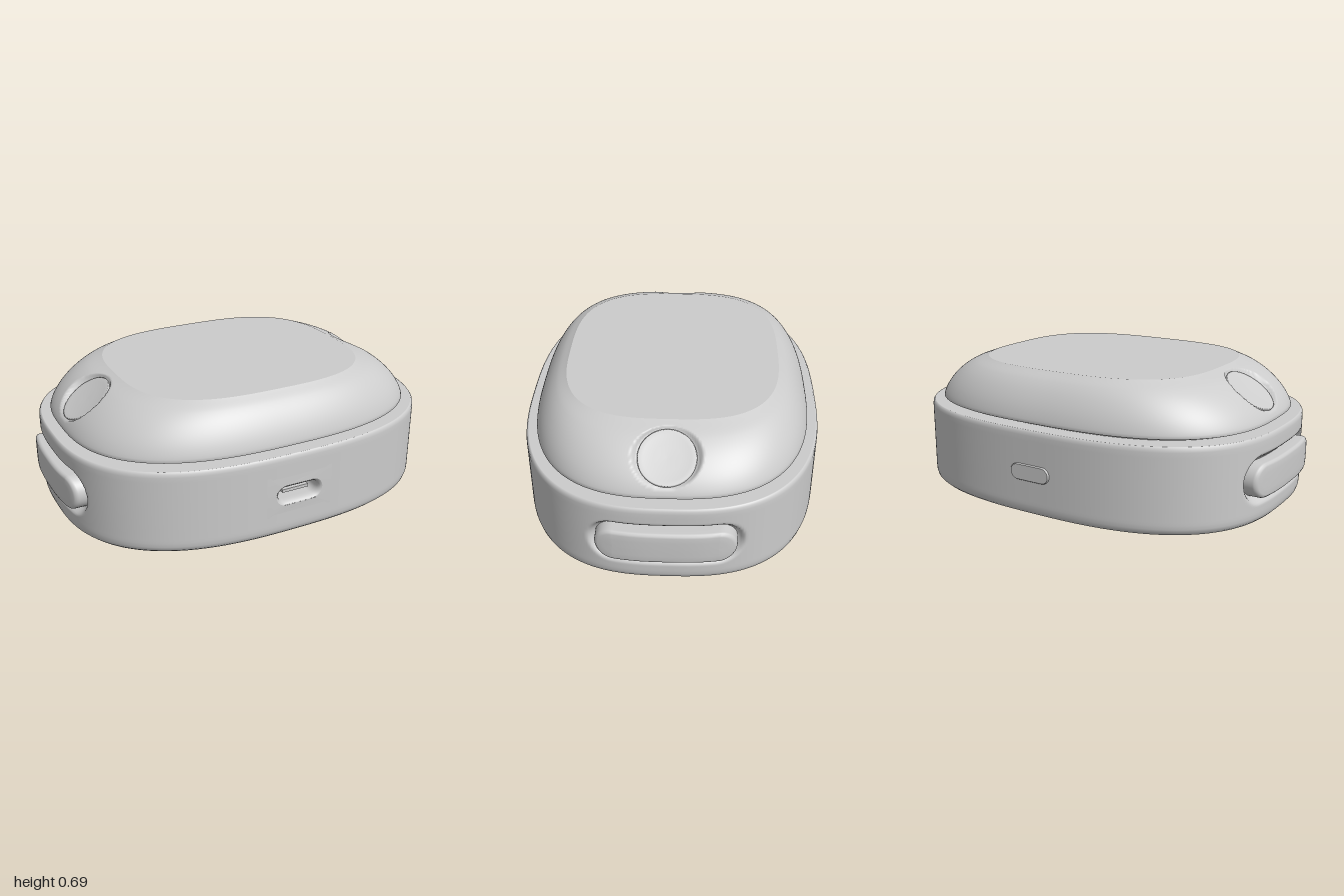
import * as THREE from 'three';

const mat = new THREE.MeshStandardMaterial({ color: 0xcccccc, side: THREE.DoubleSide });
const A = 0.97, B = 0.74, N = 2.7;

// Closed rounded-rectangle ring (superellipse) at height y
function oval(a, b, y, n = N, count = 480) {
  const pts = [];
  for (let i = 0; i < count; i++) {
    const t = (i / count) * Math.PI * 2, c = Math.cos(t), s = Math.sin(t);
    const r = Math.pow(Math.pow(Math.abs(c) / a, n) + Math.pow(Math.abs(s) / b, n), -1 / n);
    pts.push(new THREE.Vector3(r * c, y, -r * s));
  }
  return pts;
}

// Closed pill-shaped ring: half length L between centres, end radius r
function pill(L, r, y) {
  const pts = [];
  for (const s of [1, -1]) {
    for (let k = 0; k < 12; k++) pts.push(new THREE.Vector3(s * (L - (2 * L * k) / 12), y, -s * r));
    for (let k = 0; k < 24; k++) {
      const t = Math.PI / 2 + (Math.PI * k) / 24;
      pts.push(new THREE.Vector3(s * (-L + r * Math.cos(t)), y, -s * r * Math.sin(t)));
    }
  }
  return pts;
}

// Skin between successive rings; a repeated ring makes a sharp edge
function loft(rings, skip = () => false) {
  const n = rings[0].length, pos = [], idx = [];
  rings.forEach((ring) => ring.forEach((p) => pos.push(p.x, p.y, p.z)));
  for (let i = 0; i < rings.length - 1; i++) {
    for (let j = 0; j < n; j++) {
      const k = (j + 1) % n;
      if (skip(rings[i][j], rings[i + 1][k])) continue;
      const a = i * n + j, b = i * n + k;
      idx.push(a, b, b + n, a, b + n, a + n);
    }
  }
  const g = new THREE.BufferGeometry();
  g.setAttribute('position', new THREE.Float32BufferAttribute(pos, 3));
  g.setIndex(idx);
  g.computeVertexNormals();
  return g;
}

const pillLoft = (L, rows) => loft(rows.map(([r, y]) => pill(L, r, y)));
const wallX = (z) => A * Math.pow(1 - Math.pow(Math.abs(z) / B, N), 1 / N);
const wallZ = (x) => B * Math.pow(1 - Math.pow(Math.abs(x) / A, N), 1 / N);

export function createModel() {
  const model = new THREE.Group();
  const add = (name, geo, parent = model) => {
    const m = new THREE.Mesh(geo, mat);
    m.name = name;
    parent.add(m);
    return m;
  };

  // Body wall: rounded bottom edge, dished side pockets, opening at the front
  const padY = 0.243, padL = 0.24;
  const rows = [[0.12, 0.03], [0.035, 0.03], [0.018, 0.034], [0.006, 0.046], [0.001, 0.065], [0, 0.085]];
  for (let i = 0; i <= 40; i++) rows.push([0, 0.1 + i * 0.0075]);
  rows.push([0, 0.425], [0.002, 0.44], [0.008, 0.449], [0.012, 0.45], [0.012, 0.45], [0.12, 0.45]);
  const bodyRings = rows.map(([d, y]) => oval(A - d, B - d, y).map((p) => {
    const far = Math.hypot(Math.max(Math.abs(p.z) - padL, 0), p.y - padY);
    if (Math.abs(p.x) > 0.6) p.x -= Math.sign(p.x) * 0.042 * (1 - THREE.MathUtils.smoothstep(far, 0.08, 0.125));
    return p;
  }));
  add('body', loft(bodyRings, (p, q) => p.z > 0 && Math.abs(p.x + q.x) < 0.31 && p.y > 0.15 && q.y < 0.34));

  // Front panel around the port
  const panel = new THREE.Shape();
  panel.moveTo(-0.175, 0.14).lineTo(0.175, 0.14).lineTo(0.175, 0.35).lineTo(-0.175, 0.35).closePath();
  panel.holes.push(new THREE.Path(pill(0.073, 0.052, 0).map((p) => new THREE.Vector2(p.x, padY - p.z))));
  const panelGeo = new THREE.ShapeGeometry(panel);
  const pp = panelGeo.attributes.position;
  for (let i = 0; i < pp.count; i++) pp.setZ(i, wallZ(pp.getX(i)) + 0.0006);
  panelGeo.computeVertexNormals();
  add('frontPanel', panelGeo);

  // Charging port: rounded rim, tunnel and tongue
  const port = new THREE.Group();
  port.name = 'port';
  port.position.set(0, padY, B);
  port.rotation.x = Math.PI / 2;
  model.add(port);
  add('portTunnel', pillLoft(0.073, [[0.052, 0], [0.046, -0.003], [0.04, -0.01], [0.036, -0.022],
    [0.035, -0.04], [0.035, -0.11], [0.035, -0.11], [0, -0.11]]), port);
  add('portTongue', new THREE.BoxGeometry(0.14, 0.07, 0.016), port).position.y = -0.075;

  // Back button
  const back = add('backButton', pillLoft(0.07, [[0.04, -0.02], [0.04, 0.006], [0.037, 0.01], [0.037, 0.01], [0, 0.01]]));
  back.position.set(0, padY, -B);
  back.rotation.x = -Math.PI / 2;

  // Side pads, bent along the wall
  const padRows = [[0.085, -0.07], [0.085, 0.012], [0.083, 0.02], [0.077, 0.027], [0.068, 0.03], [0.04, 0.031], [0, 0.031]];
  const padGeo = loft(padRows.map(([r, h]) => pill(padL, r, h).map((p) =>
    new THREE.Vector3(wallX(p.x) + h, padY + p.z, p.x))));
  add('leftPad', padGeo);
  add('rightPad', padGeo).rotation.y = Math.PI;

  // Neck between body and lid
  add('neck', loft([oval(0.865, 0.64, 0.43), oval(0.865, 0.64, 0.48)]));

  // Domed lid with a flat top and a round recess at each side
  const centre = new THREE.Vector2(0.775, 0.59), normal = new THREE.Vector2(0.16, 0.23).normalize();
  const curve = new THREE.CatmullRomCurve3([[0, 0.468], [0.02, 0.485], [0.09, 0.52], [0.21, 0.562],
    [0.41, 0.612], [0.66, 0.655], [1, 0.692]].map(([f, y]) => new THREE.Vector3(f, y, 0)));
  const ovalLid = (f, y) => oval(0.912 - 0.292 * f, 0.686 - 0.156 * f, y, N + 0.3 * f);
  const dent = (p) => {
    const v = new THREE.Vector2(Math.abs(p.x), p.y).sub(centre);
    const h = v.dot(normal);
    const rad = Math.hypot(v.x * normal.y - v.y * normal.x, p.z);
    const cut = h - (-0.004 + 0.03 * THREE.MathUtils.smoothstep(rad, 0.138, 0.162));
    if (rad < 0.162 && cut > 0) {
      p.x -= Math.sign(p.x) * normal.x * cut;
      p.y -= normal.y * cut;
    }
    return p;
  };
  const dome = curve.getSpacedPoints(44).map((q) => ovalLid(q.x, q.y).map(dent));
  add('lid', loft([oval(0.84, 0.62, 0.465), oval(0.905, 0.68, 0.465), oval(0.905, 0.68, 0.465), ...dome]));
  add('lidTop', loft([ovalLid(1, 0.692), oval(0.001, 0.001, 0.692)]));

  // Round lid buttons, slightly dished
  const discGeo = new THREE.LatheGeometry([[0, -0.002], [0.06, -0.001], [0.11, 0.002], [0.13, 0.005],
    [0.135, 0.002], [0.135, -0.02]].reverse().map(([x, y]) => new THREE.Vector2(x, y)), 64);
  for (const s of [1, -1]) {
    const disc = add(s > 0 ? 'leftLidButton' : 'rightLidButton', discGeo);
    disc.position.set(s * centre.x, centre.y, 0);
    disc.rotation.z = -s * Math.atan2(normal.x, normal.y);
  }

  // Base plate with a pill-shaped opening
  const slotZ = 0.22, slotL = 0.23;
  const plate = new THREE.Shape(oval(0.87, 0.64, 0, N, 160).map((p) => new THREE.Vector2(p.x, p.z)));
  plate.holes.push(new THREE.Path(pill(slotL, 0.145, 0).map((p) => new THREE.Vector2(p.x, p.z + slotZ))));
  const plateGeo = new THREE.ExtrudeGeometry(plate, { depth: 0.03, bevelEnabled: false });
  plateGeo.rotateX(Math.PI / 2);
  add('basePlate', plateGeo).position.y = 0.04;

  // Underside slot: low rim, sloped trench and central foot
  const slot = add('baseSlot', pillLoft(slotL, [[0.152, -0.002], [0.15, 0.006], [0.146, 0.01], [0.138, 0.01],
    [0.128, 0.004], [0.112, -0.014], [0.096, -0.028], [0.084, -0.03], [0.084, -0.03], [0.082, -0.006],
    [0.078, 0], [0.07, 0.003], [0, 0.003]]));
  slot.position.set(0, 0.01, slotZ);
  slot.rotation.x = Math.PI;

  return model;
}
